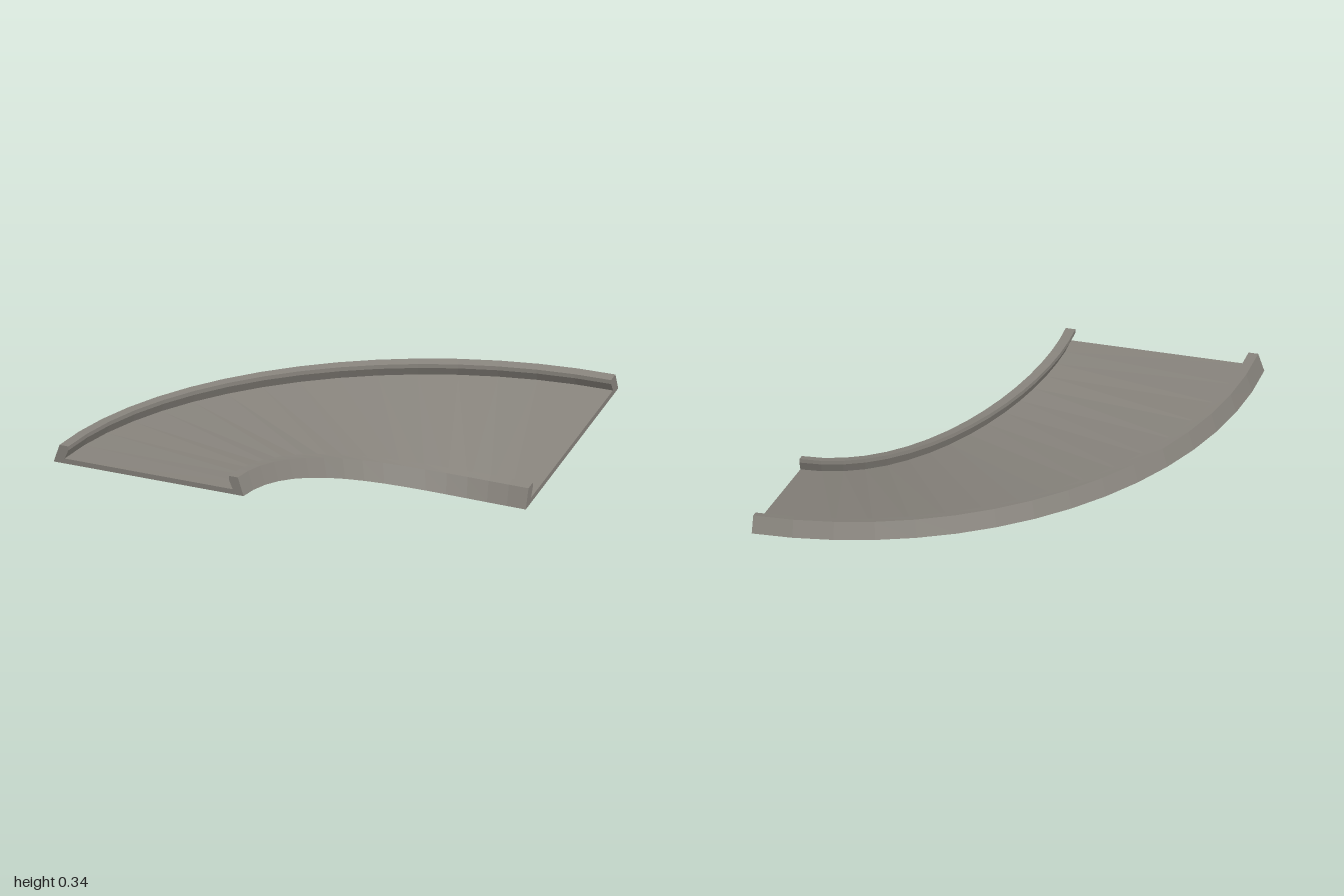
import * as THREE from 'three';

const SEGMENTS = 16;   // steps round the quarter turn
const RISE = 0.255;    // height the inner edge loses through the turn
const JOINT = 0.057;   // distance from the edge where rail meets floor
const FLOOR = 0.025;   // floor thickness

// Point on the track: radius r, height h above the base surface, t from 0 (flat end) to 1 (banked end)
function trackPoint(r, h, t) {
  const a = t * Math.PI / 2, s = Math.sin(a);
  return [1 - r * Math.cos(a), RISE * (1 - (2 - r) * s * s) + h, 1 - r * s];
}

// Sweep a counter-clockwise [r, h] section round the bend, leaving out the hidden joint walls
function sweep(section) {
  const pos = [];
  const tri = (...pts) => pts.forEach((p) => pos.push(...p));
  const isJoint = (r) => Math.abs(r - 1 - JOINT) < 1e-6 || Math.abs(r - 2 + JOINT) < 1e-6;

  section.forEach((a, i) => {
    const b = section[(i + 1) % section.length];
    if (isJoint(a[0]) && Math.abs(a[0] - b[0]) < 1e-6) return;
    for (let k = 0; k < SEGMENTS; k++) {
      const t0 = k / SEGMENTS, t1 = (k + 1) / SEGMENTS;
      const a0 = trackPoint(...a, t0), b0 = trackPoint(...b, t0);
      const a1 = trackPoint(...a, t1), b1 = trackPoint(...b, t1);
      tri(a0, b0, b1);
      tri(a0, b1, a1);
    }
  });

  // End caps
  const outline = section.map(([r, h]) => new THREE.Vector2(r, h));
  for (const [a, b, c] of THREE.ShapeUtils.triangulateShape(outline, [])) {
    const at = (i, t) => trackPoint(...section[i], t);
    tri(at(a, 1), at(b, 1), at(c, 1));
    tri(at(a, 0), at(c, 0), at(b, 0));
  }

  const geometry = new THREE.BufferGeometry();
  geometry.setAttribute('position', new THREE.Float32BufferAttribute(pos, 3));
  geometry.computeVertexNormals();
  return geometry;
}

export function createModel() {
  const group = new THREE.Group();
  group.name = 'bankedCurve';
  const stone = new THREE.MeshStandardMaterial({ color: 0x88847d });
  stone.name = 'warmGrey';

  const add = (name, section) => {
    const mesh = new THREE.Mesh(sweep(section), stone);
    mesh.name = name;
    group.add(mesh);
  };

  // Thin twisted floor
  add('floor', [[1 + JOINT, 0], [2 - JOINT, 0], [2 - JOINT, FLOOR], [1 + JOINT, FLOOR]]);

  // Guard rails: sloped outside, lip overhanging the floor
  const rail = [[0, 0], [JOINT, 0], [JOINT, FLOOR], [0.077, 0.07], [0.077, 0.09], [0.03, 0.09]];
  add('innerRail', rail.map(([d, h]) => [1 + d, h]));
  add('outerRail', rail.map(([d, h]) => [2 - d, h]).reverse());

  return group;
}
